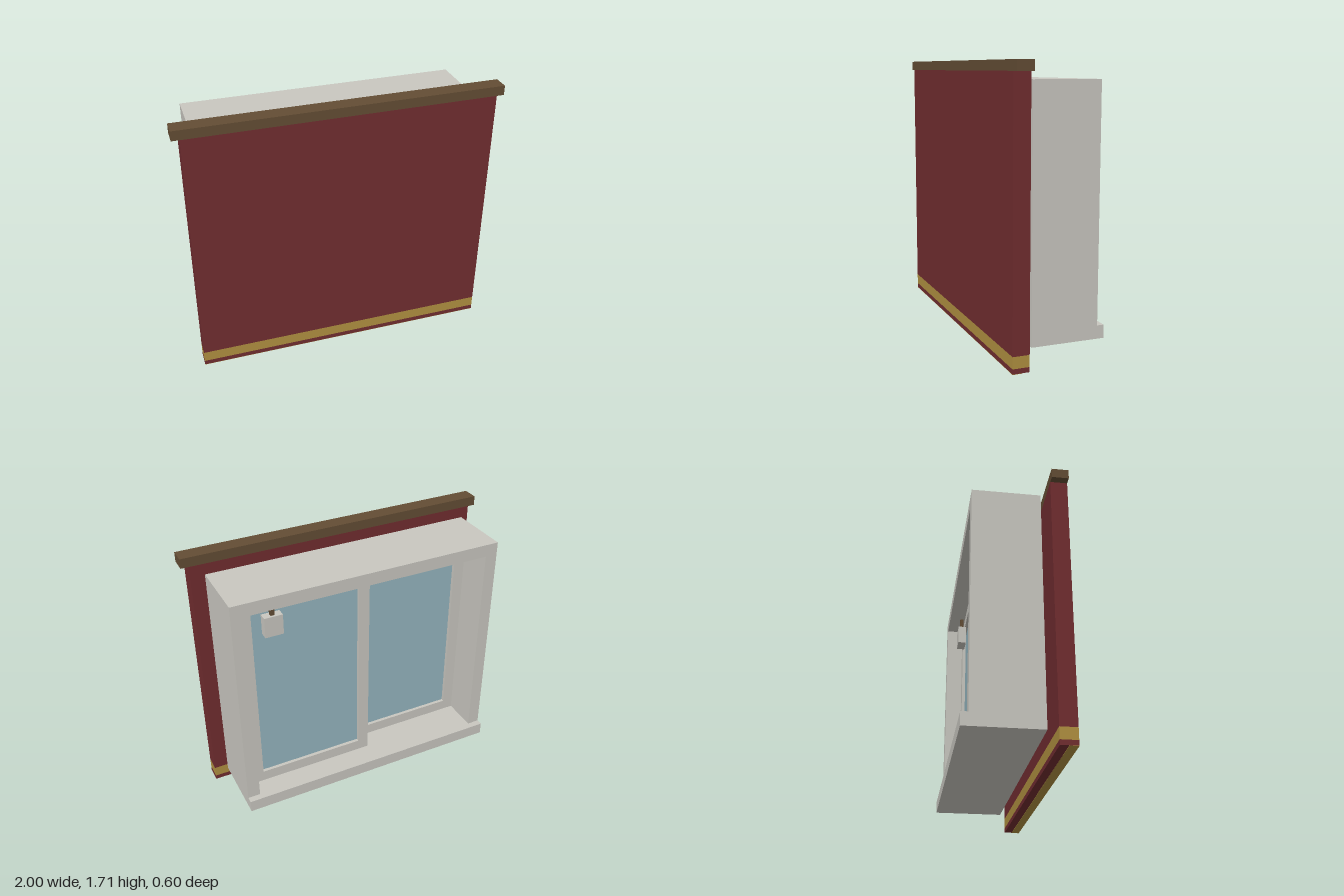
import * as THREE from 'three';

const mat = (name, color) => {
  const m = new THREE.MeshStandardMaterial({ color });
  m.name = name;
  return m;
};

export function createModel() {
  const frameGrey = mat('frame grey', 0xc9c7c0);
  const glassBlue = mat('glass blue', 0x95b5bf);
  const clothRed = mat('cloth red', 0x712d30);
  const trimGold = mat('trim gold', 0xb09040);
  const woodBrown = mat('wood brown', 0x634d34);

  const model = new THREE.Group();
  model.name = 'windowWithBlind';

  // Box given by its limits on each axis
  const box = (parent, name, material, [x0, x1], [y0, y1], [z0, z1]) => {
    const mesh = new THREE.Mesh(new THREE.BoxGeometry(x1 - x0, y1 - y0, z1 - z0), material);
    mesh.position.set((x0 + x1) / 2, (y0 + y1) / 2, (z0 + z1) / 2);
    mesh.name = name;
    parent.add(mesh);
    return mesh;
  };

  // Rectangular frame with an open middle, extruded along z
  const frame = (parent, name, [x0, x1], [y0, y1], [z0, z1], border) => {
    const rect = (C, b) => new C([
      new THREE.Vector2(x0 + b, y0 + b), new THREE.Vector2(x1 - b, y0 + b),
      new THREE.Vector2(x1 - b, y1 - b), new THREE.Vector2(x0 + b, y1 - b),
    ]);
    const shape = rect(THREE.Shape, 0);
    shape.holes.push(rect(THREE.Path, border));
    const mesh = new THREE.Mesh(
      new THREE.ExtrudeGeometry(shape, { depth: z1 - z0, bevelEnabled: false }), frameGrey);
    mesh.position.z = z0;
    mesh.name = name;
    parent.add(mesh);
  };

  // Blind: cloth with a gold band near the hem, under a wooden head rail
  const blind = new THREE.Group();
  blind.name = 'blind';
  model.add(blind);
  const clothX = [-0.953, 0.953], clothZ = [0.2, 0.302];
  box(blind, 'hem', clothRed, clothX, [0.002, 0.032], clothZ);
  box(blind, 'hemUnderside', trimGold, clothX, [0, 0.002], [0.25, 0.302]);
  box(blind, 'goldBand', trimGold, clothX, [0.032, 0.102], clothZ);
  box(blind, 'cloth', clothRed, clothX, [0.102, 1.65], clothZ);
  box(blind, 'headRail', woodBrown, [-1, 1], [1.65, 1.71], clothZ);

  // Window casing and projecting sill
  const win = new THREE.Group();
  win.name = 'window';
  model.add(win);
  frame(win, 'casing', [-0.875, 0.875], [0.11, 1.605], [-0.26, 0.155], 0.08);
  box(win, 'sill', frameGrey, [-0.875, 0.875], [0.11, 0.19], [-0.302, -0.26]);

  // Two sliding sashes on separate tracks
  const sash = (name, xs, z) => {
    const g = new THREE.Group();
    g.name = name;
    win.add(g);
    const ys = [0.19, 1.525], b = 0.072;
    frame(g, 'sashFrame', xs, ys, [z, z + 0.075], b);
    box(g, 'pane', glassBlue, [xs[0] + b, xs[1] - b], [ys[0] + b, ys[1] - b], [z + 0.022, z + 0.053]);
  };
  sash('leftSash', [-0.04, 0.795], -0.15);
  sash('rightSash', [-0.795, 0.04], -0.03);

  // Small block hanging from the top of the casing
  box(win, 'hangingBlock', frameGrey, [0.545, 0.66], [1.31, 1.44], [-0.2, -0.145]);
  box(win, 'hanger', woodBrown, [0.59, 0.615], [1.44, 1.525], [-0.185, -0.16]);

  return model;
}
